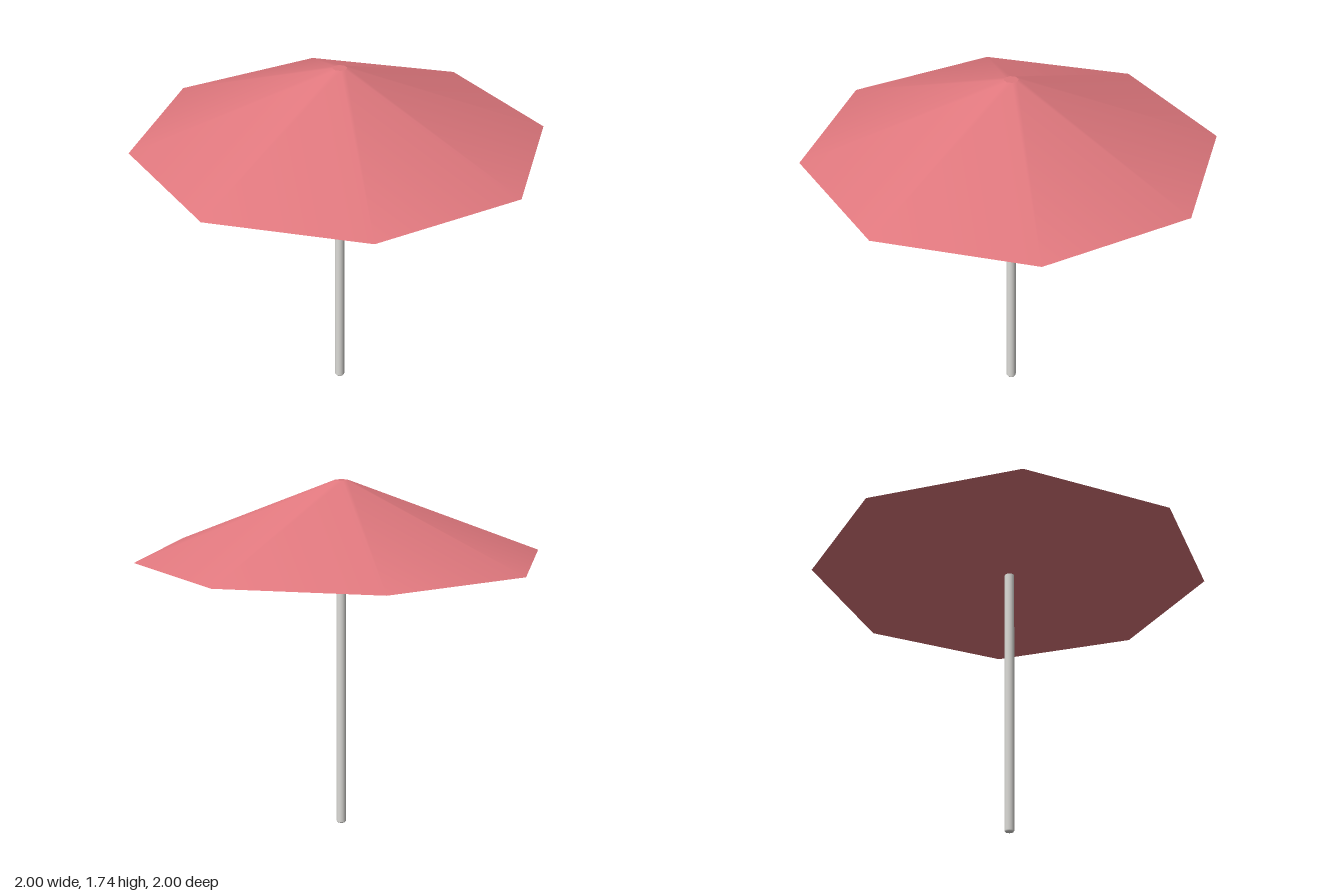
import * as THREE from 'three';

export function createModel() {
  const group = new THREE.Group();
  const fabric = new THREE.MeshStandardMaterial({ name: 'coral fabric', color: 0xe0787e });
  const metal = new THREE.MeshStandardMaterial({ name: 'pale grey metal', color: 0xdcdbd7 });

  const rimY = 1.365, topY = 1.735;

  // Eight-sided canopy with a small flat crown and a closed underside
  const canopy = new THREE.Mesh(
    new THREE.CylinderGeometry(0.035, 1, topY - rimY, 8), fabric);
  canopy.name = 'canopy';
  canopy.position.y = (rimY + topY) / 2;
  group.add(canopy);

  // Slim round pole with a slightly bevelled foot
  const profile = [[0, 0], [0.019, 0], [0.024, 0.007], [0.024, 1.4], [0, 1.4]]
    .map(([r, y]) => new THREE.Vector2(r, y));
  const pole = new THREE.Mesh(new THREE.LatheGeometry(profile, 16), metal);
  pole.name = 'pole';
  group.add(pole);

  return group;
}
